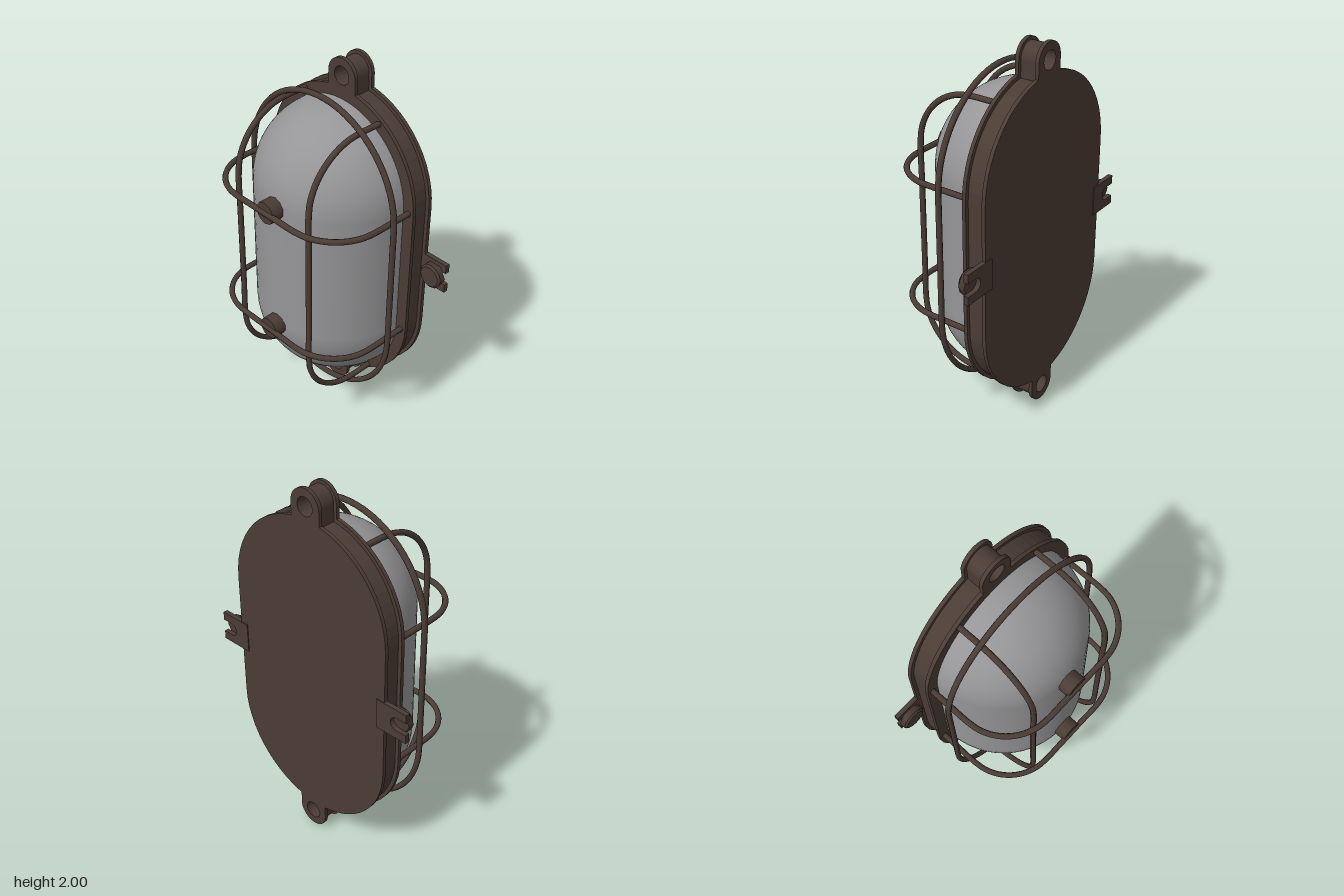
import * as THREE from 'three';

const bronze = new THREE.MeshStandardMaterial({ color: 0x4b3c35 });
bronze.name = 'bronze';
const glass = new THREE.MeshStandardMaterial({ color: 0x969698 });
glass.name = 'frosted glass';

const HALF = 0.35; // half length of the straight sides
const BACK = -0.32;
// depth layers shared by the housing and the lugs: name, start z, depth, inset
const LAYERS = [['BackPlate', BACK, 0.02, 0], ['Body', -0.3, 0.09, 0.02], ['FrontRim', -0.21, 0.02, 0]];

export function createModel() {
  const root = new THREE.Group();
  root.name = 'bulkheadLamp';
  const lamp = new THREE.Group();
  lamp.name = 'lamp';
  lamp.position.y = 1;
  root.add(lamp);

  const add = (name, geometry, material = bronze, parent = lamp) => {
    const mesh = new THREE.Mesh(geometry, material);
    mesh.name = name;
    parent.add(mesh);
    return mesh;
  };
  const slab = (shape, z, depth, segments = 14) =>
    new THREE.ExtrudeGeometry(shape, { depth, bevelEnabled: false, curveSegments: segments }).translate(0, 0, z);
  const stadium = (r) => {
    const s = new THREE.Shape();
    s.absarc(0, HALF, r, 0, Math.PI);
    s.absarc(0, -HALF, r, Math.PI, Math.PI * 2);
    s.closePath();
    return s;
  };
  const wire = (name, points, closed = false) => {
    const curve = new THREE.CatmullRomCurve3(points, closed, 'centripetal');
    return add(name, new THREE.TubeGeometry(curve, 96, 0.015, 8, closed));
  };

  // Housing
  for (const [name, z, depth, inset] of LAYERS) {
    add('housing' + name, slab(stadium(0.497 - inset), z, depth));
  }

  // Glass dome: front half of a capsule
  const profile = [];
  for (let i = 0; i <= 16; i++) {
    const a = -Math.PI / 2 + (i / 16) * (Math.PI / 2);
    profile.push(new THREE.Vector2(Math.max(0.0001, 0.434 * Math.cos(a)), -HALF - 0.005 + 0.434 * Math.sin(a)));
  }
  for (let i = 16; i >= 0; i--) profile.push(new THREE.Vector2(profile[i].x, -profile[i].y));
  add('glassDome', new THREE.LatheGeometry(profile, 32, -Math.PI / 2, Math.PI), glass).position.z = -0.19;

  // Mounting lugs at top and bottom
  for (const side of [1, -1]) {
    const lug = new THREE.Group();
    lug.name = side > 0 ? 'topLug' : 'bottomLug';
    lug.position.y = side * 0.91;
    if (side < 0) lug.rotation.z = Math.PI;
    lamp.add(lug);
    for (const [name, z, depth, inset] of LAYERS) {
      const w = 0.09 - inset * 0.85;
      const s = new THREE.Shape();
      s.moveTo(-w, -0.12);
      s.lineTo(w, -0.12);
      s.lineTo(w, 0);
      s.absarc(0, 0, w, 0, Math.PI);
      s.closePath();
      const hole = new THREE.Path();
      hole.absarc(0, 0, 0.048, 0, Math.PI * 2);
      s.holes.push(hole);
      add('lug' + name, slab(s, z, depth, 10), bronze, lug);
    }
  }

  // Slotted side ears with hex bolts
  for (const side of [1, -1]) {
    const ear = new THREE.Group();
    ear.name = side > 0 ? 'leftEar' : 'rightEar';
    if (side < 0) ear.rotation.z = Math.PI;
    lamp.add(ear);
    const s = new THREE.Shape();
    s.moveTo(0.45, -0.082);
    s.lineTo(0.635, -0.082);
    s.lineTo(0.635, -0.035);
    s.lineTo(0.575, -0.035);
    s.absarc(0.575, 0, 0.035, -Math.PI / 2, Math.PI / 2, true);
    s.lineTo(0.635, 0.035);
    s.lineTo(0.635, 0.082);
    s.lineTo(0.45, 0.082);
    s.closePath();
    add('earPlate', slab(s, -0.325, 0.025, 8), bronze, ear);
    const head = new THREE.CylinderGeometry(0.068, 0.068, 0.032, 6).rotateX(Math.PI / 2).rotateZ(Math.PI / 2);
    add('boltHead', head, bronze, ear).position.set(0.567, 0, -0.284);
    const cap = new THREE.CylinderGeometry(0.055, 0.066, 0.009, 12).rotateX(Math.PI / 2);
    add('boltChamfer', cap, bronze, ear).position.set(0.567, 0, -0.2635);
  }

  // Guard ring around the dome
  const ring = stadium(0.5).getSpacedPoints(72).slice(0, -1);
  wire('guardRing', ring.map((p) => new THREE.Vector3(p.x, p.y, -0.055)), true);

  // Half of a guard bar, as [across, forward] points, mirrored into a full bar
  const arch = (w, flat, z0, z1) => {
    const half = [[w, -0.2], [w, (z0 - 0.2) / 2]];
    for (let i = 0; i <= 6; i++) {
      const a = (i / 6) * (Math.PI / 2);
      half.push([flat + (w - flat) * Math.cos(a), z0 + (z1 - z0) * Math.sin(a)]);
    }
    half.push([flat / 2, z1]);
    return [...half, ...half.map(([u, z]) => [-u, z]).reverse()];
  };
  for (const side of [1, -1]) {
    wire(side > 0 ? 'leftVerticalBar' : 'rightVerticalBar',
      arch(0.755, 0.44, -0.07, 0.253).map(([u, z]) => new THREE.Vector3(side * 0.25, u, z)));
    wire(side > 0 ? 'upperCrossBar' : 'lowerCrossBar',
      arch(0.467, 0.2, 0.04, 0.304).map(([u, z]) => new THREE.Vector3(u, side * 0.36, z)));
    // Stud between the dome and the cross bar
    const stud = new THREE.CylinderGeometry(0.06, 0.06, 0.105, 10).rotateX(Math.PI / 2);
    add(side > 0 ? 'upperStud' : 'lowerStud', stud).position.set(0, side * 0.36, 0.2525);
  }

  return root;
}
